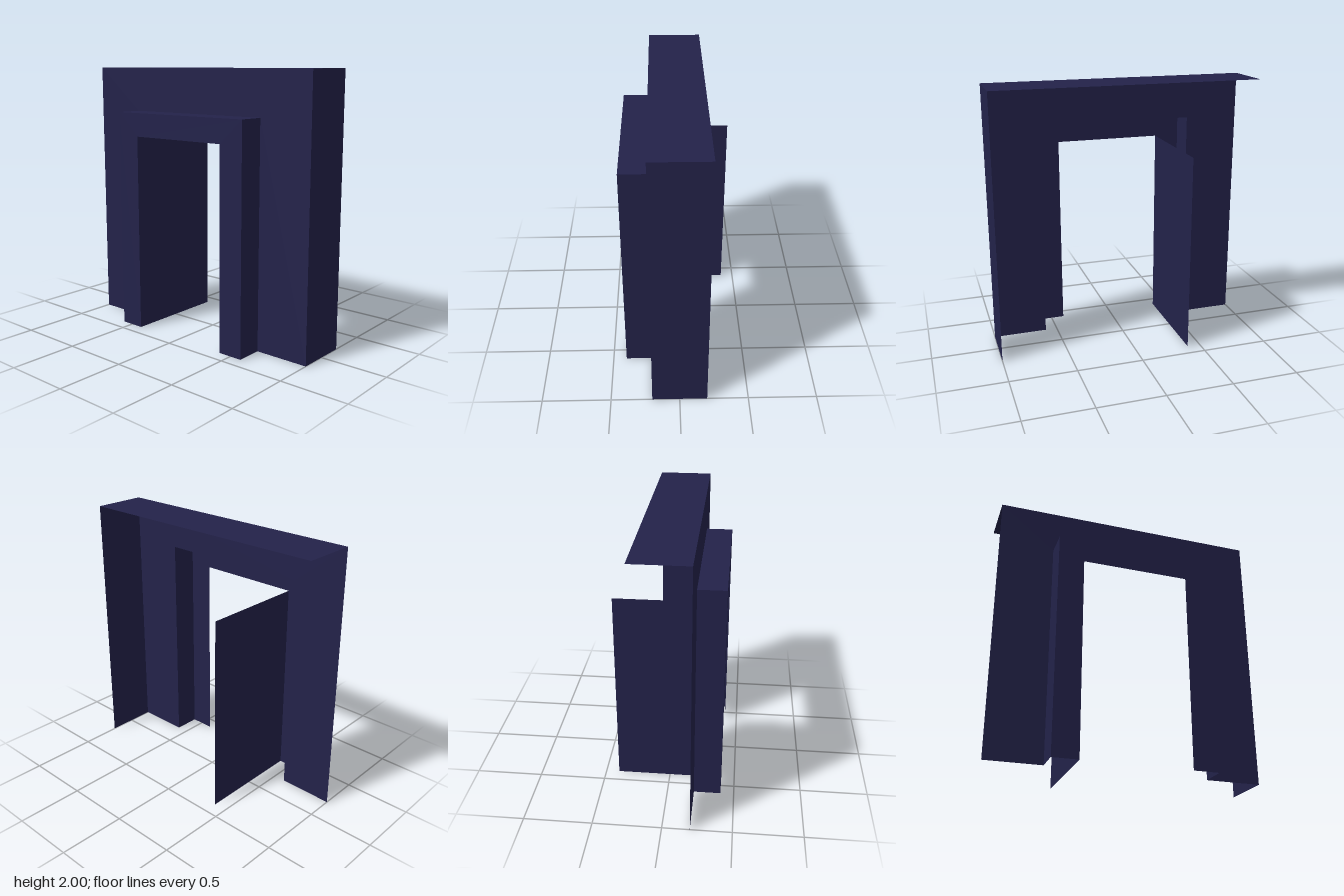
import * as THREE from 'three';

// Flat open-backed portal shell: every surface is a thin sheet.
export function createModel() {
  const group = new THREE.Group();
  const navy = new THREE.MeshStandardMaterial({ color: 0x23224a, side: THREE.DoubleSide });
  navy.name = 'navy';

  const add = (name, geometry) => {
    const mesh = new THREE.Mesh(geometry, navy);
    mesh.name = name;
    group.add(mesh);
  };

  // Arch-shaped sheet facing +z, open at the bottom
  const archFace = (name, outerX, outerY, innerX, innerY, z) => {
    const points = [
      [-outerX, 0], [-innerX, 0], [-innerX, innerY], [innerX, innerY],
      [innerX, 0], [outerX, 0], [outerX, outerY], [-outerX, outerY],
    ].map(([x, y]) => new THREE.Vector2(x, y));
    add(name, new THREE.ShapeGeometry(new THREE.Shape(points)).translate(0, 0, z));
  };

  // Upright sheet at a given x, facing along dir
  const sidePanel = (name, x, height, z0, z1, dir) =>
    add(name, new THREE.PlaneGeometry(z1 - z0, height)
      .rotateY(dir * Math.PI / 2).translate(x, height / 2, (z0 + z1) / 2));

  // Level sheet facing up
  const topPanel = (name, halfWidth, y, z0, z1) =>
    add(name, new THREE.PlaneGeometry(halfWidth * 2, z1 - z0)
      .rotateX(-Math.PI / 2).translate(0, y, (z0 + z1) / 2));

  // Main wall: front, top and its one closed end
  archFace('wallFront', 1, 2, 0.59, 1.67, 0.2);
  topPanel('wallTop', 1, 2, -0.2, 0.2);
  sidePanel('wallEnd', 1, 2, -0.2, 0.2, 1);

  // Raised door surround
  archFace('surroundFront', 0.59, 1.67, 0.4, 1.495, 0.4);
  topPanel('surroundTop', 0.59, 1.67, 0.2, 0.4);
  for (const side of [-1, 1]) {
    sidePanel(side > 0 ? 'surroundLeft' : 'surroundRight', side * 0.59, 1.67, 0.2, 0.4, side);
  }

  // Single deep panel along one side of the doorway
  sidePanel('doorwayPanel', -0.4, 1.495, -0.4, 0.4, 1);

  return group;
}
